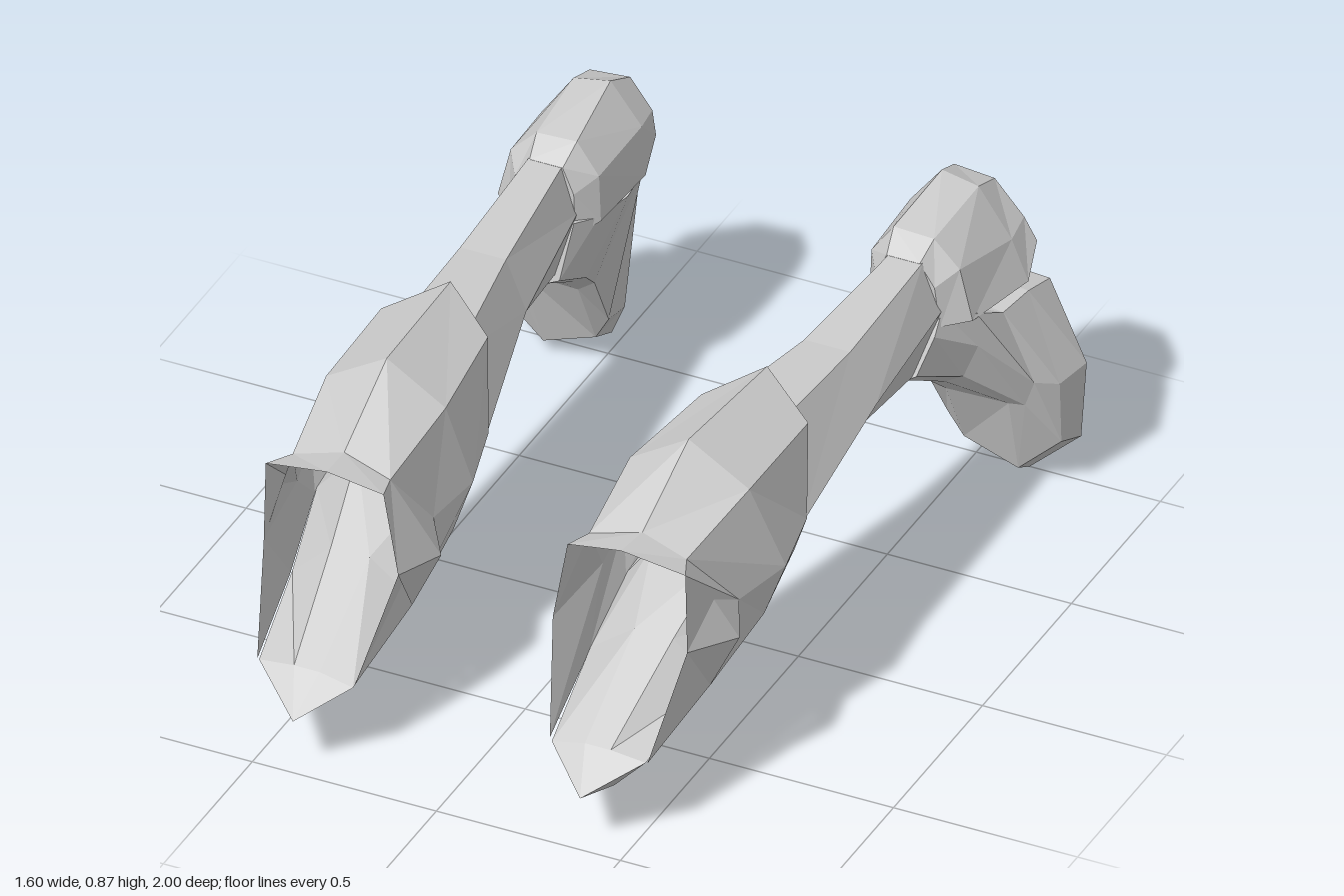
import * as THREE from 'three';

const material = new THREE.MeshStandardMaterial({ color: 0xcccccc, flatShading: true, side: THREE.DoubleSide });

// Joins successive cross-sections (lists of [x, y, z]) with flat facets.
function loft(name, rings, { closed = true, capStart = false, capEnd = false } = {}) {
  const n = rings[0].length;
  const index = [];
  for (let r = 0; r < rings.length - 1; r++) {
    for (let i = 0; i < (closed ? n : n - 1); i++) {
      const a = r * n + i, b = r * n + (i + 1) % n;
      index.push(a, b, a + n, b, b + n, a + n);
    }
  }
  const last = (rings.length - 1) * n;
  for (let i = 1; i < n - 1; i++) {
    if (capStart) index.push(0, i + 1, i);
    if (capEnd) index.push(last, last + i, last + i + 1);
  }
  const geometry = new THREE.BufferGeometry();
  geometry.setAttribute('position', new THREE.Float32BufferAttribute(rings.flat(2), 3));
  geometry.setIndex(index);
  const flat = geometry.toNonIndexed();
  flat.computeVertexNormals();
  const mesh = new THREE.Mesh(flat, material);
  mesh.name = name;
  return mesh;
}

// Puts a list of [x, y] points at depth z.
const at = (z, points) => points.map(([x, y]) => [x, y, z]);

// Six-sided shaft section from its extents.
function shaftRing(z, inner, outer, top, mid, bottom) {
  const w = outer - inner;
  return at(z, [
    [inner, mid], [inner + w * 0.22, top], [inner + w * 0.72, top],
    [outer, mid], [inner + w * 0.75, bottom], [inner + w * 0.25, bottom],
  ]);
}

function createLimb() {
  const limb = new THREE.Group();

  // Slim shaft, flaring into the hood
  limb.add(loft('shaft', [
    shaftRing(0.23, 0.24, 0.62, 0.775, 0.56, 0.48),
    shaftRing(-0.23, 0.35, 0.6, 0.765, 0.63, 0.53),
    shaftRing(-0.63, 0.405, 0.585, 0.79, 0.66, 0.49),
  ]));

  // Rounded knob at the back end
  limb.add(loft('knob', [
    at(-0.62, [[0.405, 0.6], [0.41, 0.72], [0.44, 0.79], [0.53, 0.79], [0.57, 0.73], [0.585, 0.62]]),
    at(-0.68, [[0.365, 0.62], [0.37, 0.75], [0.43, 0.835], [0.54, 0.83], [0.61, 0.76], [0.645, 0.62]]),
    at(-0.91, [[0.355, 0.62], [0.365, 0.76], [0.45, 0.87], [0.55, 0.85], [0.64, 0.72], [0.685, 0.61]]),
    at(-1, [[0.37, 0.68], [0.38, 0.75], [0.44, 0.83], [0.55, 0.82], [0.63, 0.73], [0.665, 0.67]]),
  ], { capStart: true, capEnd: true }));

  // Neck turning down into the flat-backed flap
  limb.add(loft('flap', [
    [[0.4, 0.65, -0.6], [0.42, 0.5, -0.56], [0.45, 0.49, -0.55], [0.53, 0.49, -0.55],
      [0.55, 0.5, -0.56], [0.58, 0.6, -0.6], [0.585, 0.66, -0.63]],
    [[0.37, 0.63, -0.68], [0.42, 0.42, -0.71], [0.46, 0.39, -0.72], [0.55, 0.39, -0.72],
      [0.6, 0.42, -0.72], [0.64, 0.52, -0.72], [0.645, 0.63, -0.7]],
    [[0.36, 0.61, -0.82], [0.45, 0.33, -0.82], [0.5, 0.29, -0.83], [0.66, 0.28, -0.85],
      [0.7, 0.28, -0.86], [0.73, 0.36, -0.85], [0.67, 0.58, -0.8]],
    [[0.37, 0.61, -0.92], [0.46, 0.16, -0.92], [0.5, 0.09, -0.93], [0.645, 0.035, -0.935],
      [0.765, 0.15, -0.93], [0.775, 0.34, -0.9], [0.69, 0.59, -0.9]],
    at(-1, [[0.41, 0.59], [0.455, 0.15], [0.49, 0.065], [0.645, 0], [0.785, 0.13], [0.8, 0.35], [0.7, 0.57]]),
  ], { capStart: true, capEnd: true }));

  // Open hood: back edge, widest section, waist, front collar
  const waist = [[0.24, 0.32, 0.64], [0.23, 0.52, 0.54], [0.27, 0.715, 0.7], [0.405, 0.745, 0.68],
    [0.535, 0.715, 0.7], [0.6, 0.52, 0.54], [0.57, 0.32, 0.64]];
  const collar = [[0.265, 0.24, 0.91], [0.21, 0.5, 0.78], [0.25, 0.725, 0.78], [0.4, 0.755, 0.79],
    [0.57, 0.725, 0.78], [0.575, 0.5, 0.78], [0.53, 0.24, 0.91]];
  limb.add(loft('hood', [
    [[0.26, 0.48, 0.23], [0.245, 0.56, 0.2], [0.29, 0.775, 0.11], [0.43, 0.85, 0.03],
      [0.58, 0.775, 0.11], [0.62, 0.56, 0.2], [0.6, 0.48, 0.23]],
    [[0.235, 0.41, 0.42], [0.205, 0.53, 0.37], [0.25, 0.77, 0.43], [0.41, 0.87, 0.43],
      [0.575, 0.77, 0.43], [0.645, 0.53, 0.37], [0.61, 0.41, 0.42]],
    waist, collar,
  ], { closed: false }));

  // Pointed side bumps behind the collar
  for (const [tip, low, mid, high] of [[[0.18, 0.46, 0.6], 0, 1, 2], [[0.635, 0.46, 0.61], 6, 5, 4]]) {
    limb.add(loft('sideBump', [[waist[low], waist[mid], waist[high], collar[mid]], Array(4).fill(tip)]));
  }

  // Pointed sole with a floor rising toward the shaft
  limb.add(loft('sole', [
    Array(6).fill([0.39, 0.15, 1]),
    at(0.91, [[0.27, 0.23], [0.36, 0.15], [0.44, 0.15], [0.525, 0.24], [0.43, 0.25], [0.36, 0.25]]),
    at(0.63, [[0.24, 0.33], [0.36, 0.15], [0.46, 0.15], [0.57, 0.32], [0.465, 0.42], [0.36, 0.42]]),
    at(0.41, [[0.235, 0.42], [0.33, 0.24], [0.49, 0.24], [0.61, 0.42], [0.5, 0.55], [0.3, 0.51]]),
    at(0.23, [[0.26, 0.48], [0.34, 0.315], [0.51, 0.315], [0.6, 0.48], [0.46, 0.62], [0.38, 0.62]]),
    Array(6).fill([0.43, 0.44, 0.01]),
  ]));
  return limb;
}

export function createModel() {
  const model = new THREE.Group();
  model.name = 'limbPair';
  const left = createLimb();
  left.name = 'leftLimb';
  const right = createLimb();
  right.name = 'rightLimb';
  right.scale.x = -1;
  model.add(left, right);
  return model;
}
